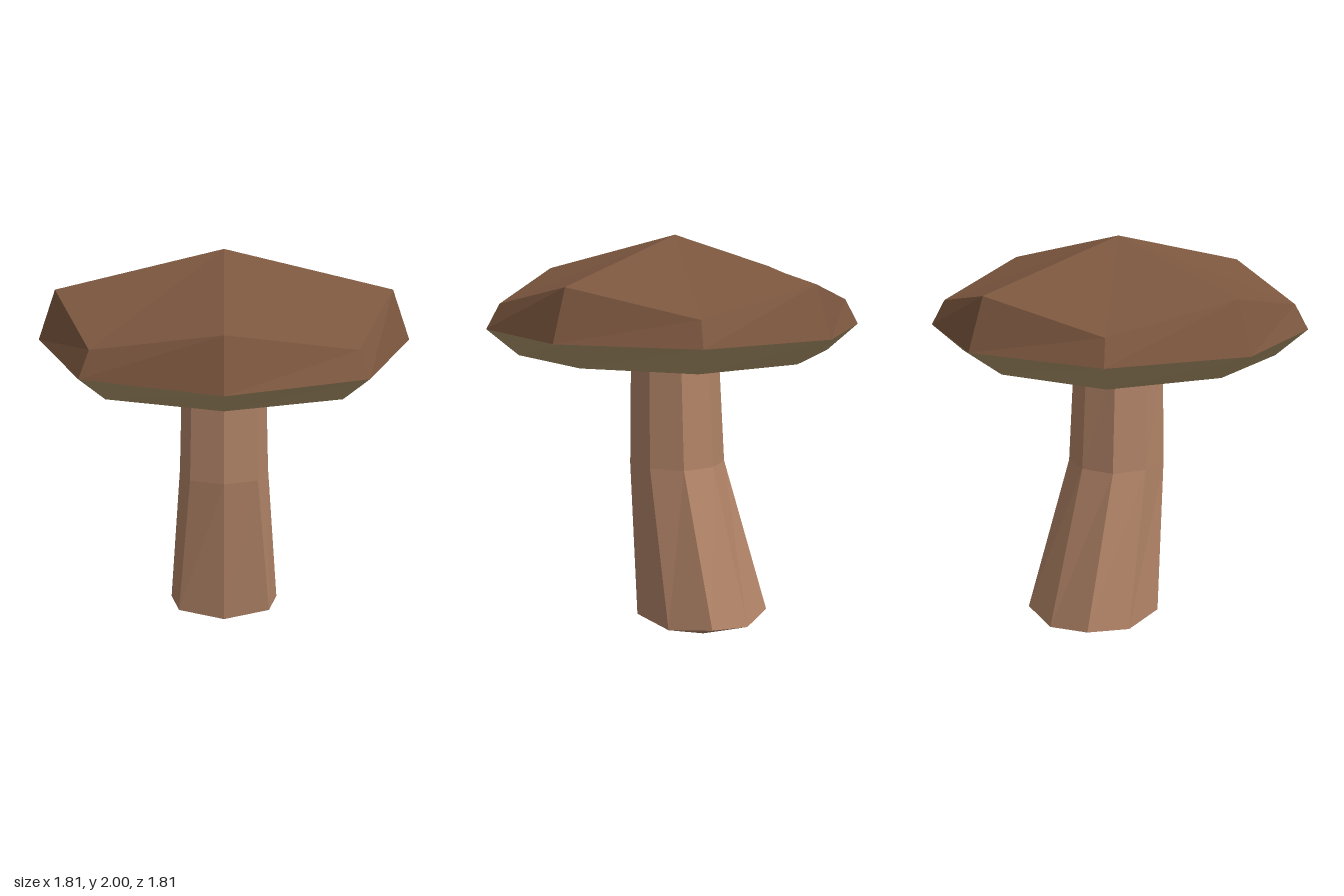
import * as THREE from 'three';

// One eight-sided ring: axis corners at radius a and height y,
// diagonal corners at (d, d) and height yd, shifted along z.
function ring(y, a, d, yd = y, z = 0) {
  return Array.from({ length: 8 }, (_, i) => {
    const t = (i * Math.PI) / 4;
    const r = i % 2 ? d * Math.SQRT2 : a;
    return new THREE.Vector3(Math.sin(t) * r, i % 2 ? yd : y, Math.cos(t) * r + z);
  });
}

// A ring collapsed to a single point, used to close a shape
const tip = (y, z = 0) => ring(y, 0, 0, y, z);

// Joins rings from bottom to top into a faceted skin
function loft(name, color, rings) {
  const points = [];
  const addTriangle = (a, b, c) => {
    if (a.distanceTo(b) < 1e-6 || b.distanceTo(c) < 1e-6 || c.distanceTo(a) < 1e-6) return;
    points.push(a, b, c);
  };
  for (let k = 0; k < rings.length - 1; k++) {
    const low = rings[k], high = rings[k + 1];
    for (let i = 0; i < 8; i++) {
      const j = (i + 1) % 8;
      addTriangle(low[i], low[j], high[j]);
      addTriangle(low[i], high[j], high[i]);
    }
  }
  const geometry = new THREE.BufferGeometry().setFromPoints(points);
  geometry.computeVertexNormals();
  const mesh = new THREE.Mesh(geometry, new THREE.MeshStandardMaterial({ color, flatShading: true }));
  mesh.name = name;
  return mesh;
}

export function createModel() {
  const model = new THREE.Group();
  model.name = 'mushroom';

  // Bent stem with a pointed foot
  model.add(loft('stem', 0xb08266, [
    tip(0.005, -0.18),
    ring(0.09, 0.278, 0.232, 0.12, -0.172),
    ring(0.87, 0.222, 0.168, 0.87, -0.015),
    ring(1.43, 0.206, 0.155),
  ]));

  // Pale underside of the cap
  model.add(loft('capUnderside', 0xb0976c, [
    tip(1.42),
    ring(1.42, 0.72, 0.545),
    ring(1.55, 0.905, 0.655),
  ]));

  // Brown cap, its upper edge dipping at the diagonals
  model.add(loft('cap', 0x7c573f, [
    ring(1.55, 0.905, 0.655),
    ring(1.8, 0.817, 0.608, 1.673),
    tip(2),
  ]));

  return model;
}
